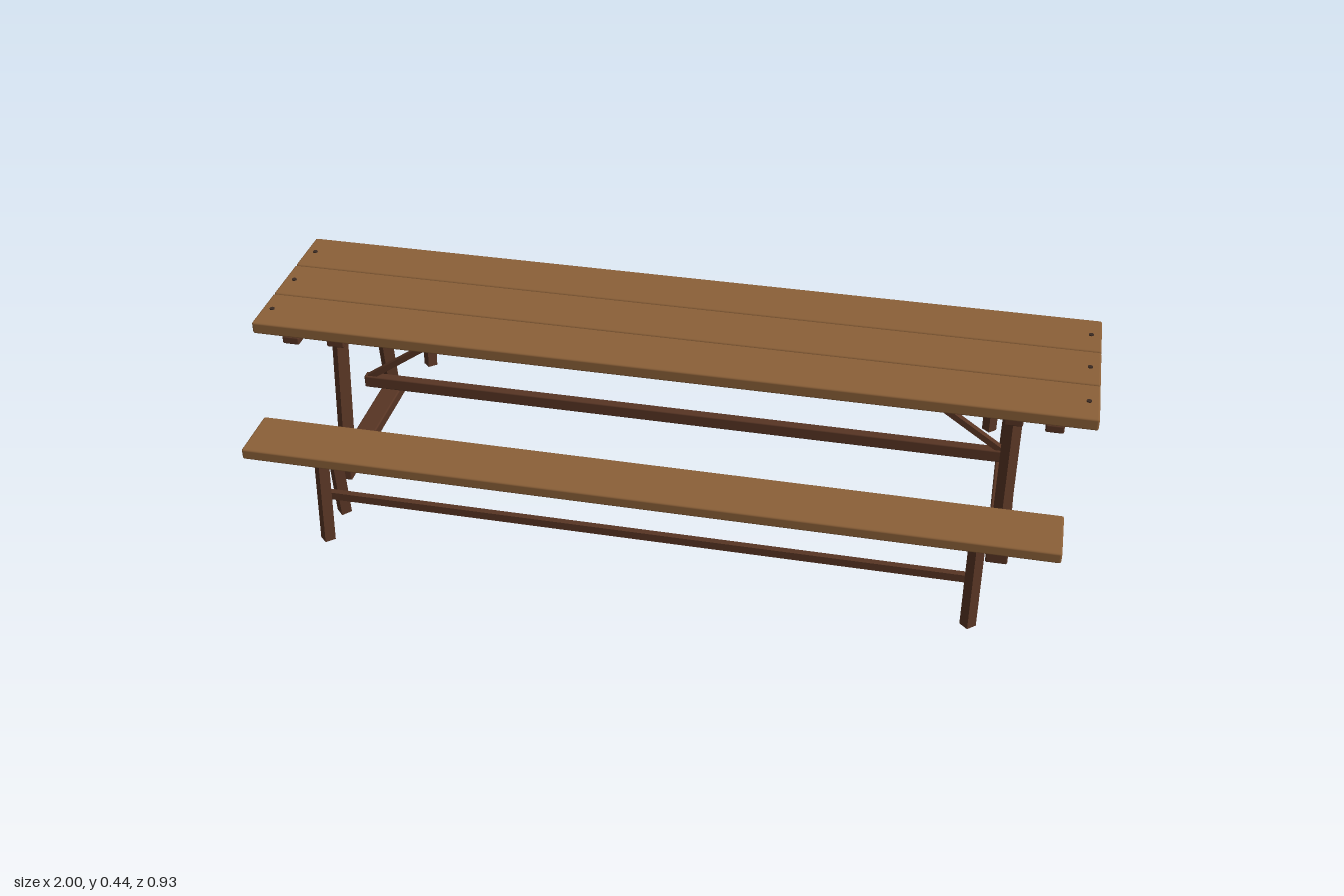
import * as THREE from 'three';
import { RoundedBoxGeometry } from 'three/addons/geometries/RoundedBoxGeometry.js';

const mat = (name, color) => {
  const m = new THREE.MeshStandardMaterial({ color });
  m.name = name;
  return m;
};

export function createModel() {
  const plankWood = mat('plank wood', 0x8b6038);
  const frameWood = mat('frame wood', 0x583524);
  const boltMetal = mat('dark bolt', 0x3a2a22);

  const add = (parent, name, geometry, material, x, y, z) => {
    const mesh = new THREE.Mesh(geometry, material);
    mesh.name = name;
    mesh.position.set(x, y, z);
    parent.add(mesh);
    return mesh;
  };

  // Beam with softened edges
  const beam = (parent, name, material, size, pos, radius = 0.004) =>
    add(parent, name, new RoundedBoxGeometry(...size, 2, radius), material, ...pos);

  // Square bar set edge-on, running between two points in a plane of constant x
  const leg = (parent, name, x, [y0, z0], [y1, z1], radius) => {
    const length = Math.hypot(y1 - y0, z1 - z0);
    const geometry = new THREE.CylinderGeometry(radius, radius, length, 4).toNonIndexed();
    geometry.computeVertexNormals();
    const mesh = add(parent, name, geometry, frameWood, x, (y0 + y1) / 2, (z0 + z1) / 2);
    mesh.rotation.x = Math.atan2(z1 - z0, y1 - y0);
  };

  const model = new THREE.Group();
  model.name = 'picnicTable';

  // Table
  const table = new THREE.Group();
  table.name = 'table';
  model.add(table);
  for (const z of [-0.1425, 0, 0.1425]) {
    beam(table, 'tabletopPlank', plankWood, [2, 0.031, 0.1395], [0, 0.4245, z], 0.005);
    for (const side of [-1, 1]) {
      add(table, 'bolt', new THREE.CylinderGeometry(0.006, 0.006, 0.006, 10), boltMetal,
        side * 0.975, 0.4395, z);
    }
  }
  beam(table, 'stretcher', frameWood, [1.63, 0.033, 0.024], [0, 0.164, 0]);

  for (const side of [-1, 1]) {
    const x = side * 0.815;
    beam(table, 'endBatten', frameWood, [0.042, 0.021, 0.42], [side * 0.906, 0.399, 0]);
    beam(table, 'topBeam', frameWood, [0.044, 0.049, 0.322], [x, 0.385, 0]);
    beam(table, 'foot', frameWood, [0.052, 0.03, 0.436], [x, 0.018, 0]);
    for (const s of [-1, 1]) {
      leg(table, 'tableLeg', x, [0.02, s * 0.171], [0.375, s * 0.127], 0.021);
    }
    // Diagonal brace from the stretcher end up to the tabletop
    const from = new THREE.Vector2(0.81, 0.17);
    const to = new THREE.Vector2(0.475, 0.405);
    const brace = add(table, 'diagonalBrace',
      new THREE.BoxGeometry(from.distanceTo(to), 0.015, 0.016), frameWood,
      side * (from.x + to.x) / 2, (from.y + to.y) / 2, 0);
    brace.rotation.z = side * Math.atan2(to.y - from.y, to.x - from.x);
  }

  // Benches on both long sides
  for (const face of [-1, 1]) {
    const bench = new THREE.Group();
    bench.name = face > 0 ? 'frontBench' : 'backBench';
    bench.position.z = face * 0.391;
    model.add(bench);
    beam(bench, 'seatPlank', plankWood, [1.896, 0.028, 0.139], [0, 0.234, 0], 0.005);
    beam(bench, 'seatRail', frameWood, [1.8, 0.028, 0.026], [0, 0.208, 0]);
    add(bench, 'lowerRod', new THREE.BoxGeometry(1.55, 0.02, 0.015), frameWood, 0, 0.093, 0);
    for (const side of [-1, 1]) {
      for (const s of [-1, 1]) {
        leg(bench, 'benchLeg', side * 0.765, [0.002, s * 0.0555], [0.225, s * 0.0355], 0.0185);
      }
    }
  }
  return model;
}
